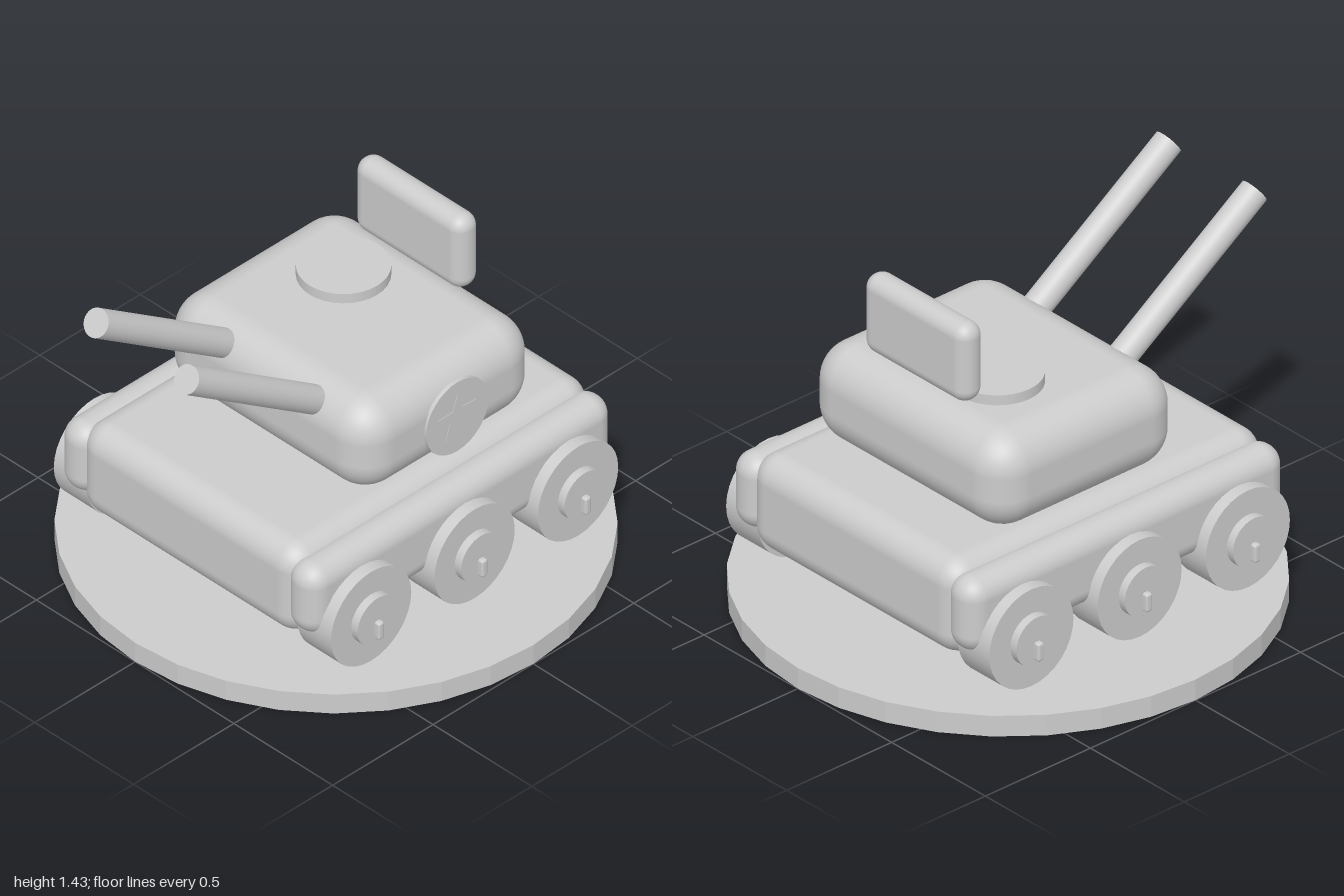
import * as THREE from 'three';
import { RoundedBoxGeometry } from 'three/addons/geometries/RoundedBoxGeometry.js';

export function createModel() {
  const model = new THREE.Group();
  model.name = 'toyTank';
  const grey = new THREE.MeshStandardMaterial({ color: 0xcccccc });
  grey.name = 'lightGrey';

  const add = (name, geometry, x, y, z, parent = model) => {
    const mesh = new THREE.Mesh(geometry, grey);
    mesh.name = name;
    mesh.position.set(x, y, z);
    parent.add(mesh);
    return mesh;
  };
  const roundedBox = (w, h, d, r) => new RoundedBoxGeometry(w, h, d, 6, r);
  // Disc whose axis runs along x
  const sideDisc = (r, width) => new THREE.CylinderGeometry(r, r, width, 32).rotateZ(-Math.PI / 2);

  // Round display base
  const baseGeometry = new THREE.CylinderGeometry(1, 1, 0.085, 32).toNonIndexed();
  baseGeometry.computeVertexNormals();
  add('displayBase', baseGeometry, 0, 0.0425, 0);

  // Body
  add('hull', roundedBox(1.12, 0.39, 1.5, 0.1), 0, 0.435, 0);
  add('turret', roundedBox(1.05, 0.395, 0.885, 0.15), -0.002, 0.8175, -0.07);
  add('hatch', new THREE.CylinderGeometry(0.17, 0.17, 0.06, 32), -0.15, 1.026, -0.185);
  add('rearPanel', roundedBox(0.55, 0.32, 0.112, 0.055), 0, 1.22, -0.402);

  // Fenders and wheels on both sides
  for (const side of [1, -1]) {
    add('fender', roundedBox(0.16, 0.3, 1.51, 0.078), side * 0.573, 0.45, 0);
    for (const z of [0.515, 0, -0.515]) {
      const wheel = new THREE.Group();
      wheel.name = 'wheel';
      wheel.position.set(0, 0.33, z);
      model.add(wheel);
      add('tyre', sideDisc(0.2, 0.17), side * 0.617, 0, 0, wheel);
      add('hub', sideDisc(0.1, 0.06), side * 0.705, 0, 0, wheel);
      add('hubPin', roundedBox(0.05, 0.075, 0.03, 0.01), side * 0.732, -0.037, 0, wheel);
    }
  }

  // Twin raised barrels
  const tip = new THREE.Vector3(0, 1.38, 0.968);
  const elevation = THREE.MathUtils.degToRad(34.5);
  const length = 0.98;
  for (const x of [-0.23, 0.228]) {
    const barrel = add('barrel', new THREE.CylinderGeometry(0.055, 0.055, length, 32), x,
      tip.y - Math.sin(elevation) * length / 2, tip.z - Math.cos(elevation) * length / 2);
    barrel.rotation.x = Math.PI / 2 - elevation;
  }

  // Star badge on the left of the turret
  add('badgeDisc', sideDisc(0.155, 0.015), 0.526, 0.81, -0.08);
  const points = [];
  for (let i = 0; i < 10; i++) {
    const r = i % 2 ? 0.042 : 0.1;
    const a = Math.PI / 2 + i * Math.PI / 5;
    points.push(new THREE.Vector2(Math.cos(a) * r, Math.sin(a) * r));
  }
  const star = new THREE.ExtrudeGeometry(new THREE.Shape(points), { depth: 0.004, bevelEnabled: false });
  add('badgeStar', star.rotateY(Math.PI / 2), 0.5315, 0.81, -0.08);

  return model;
}
